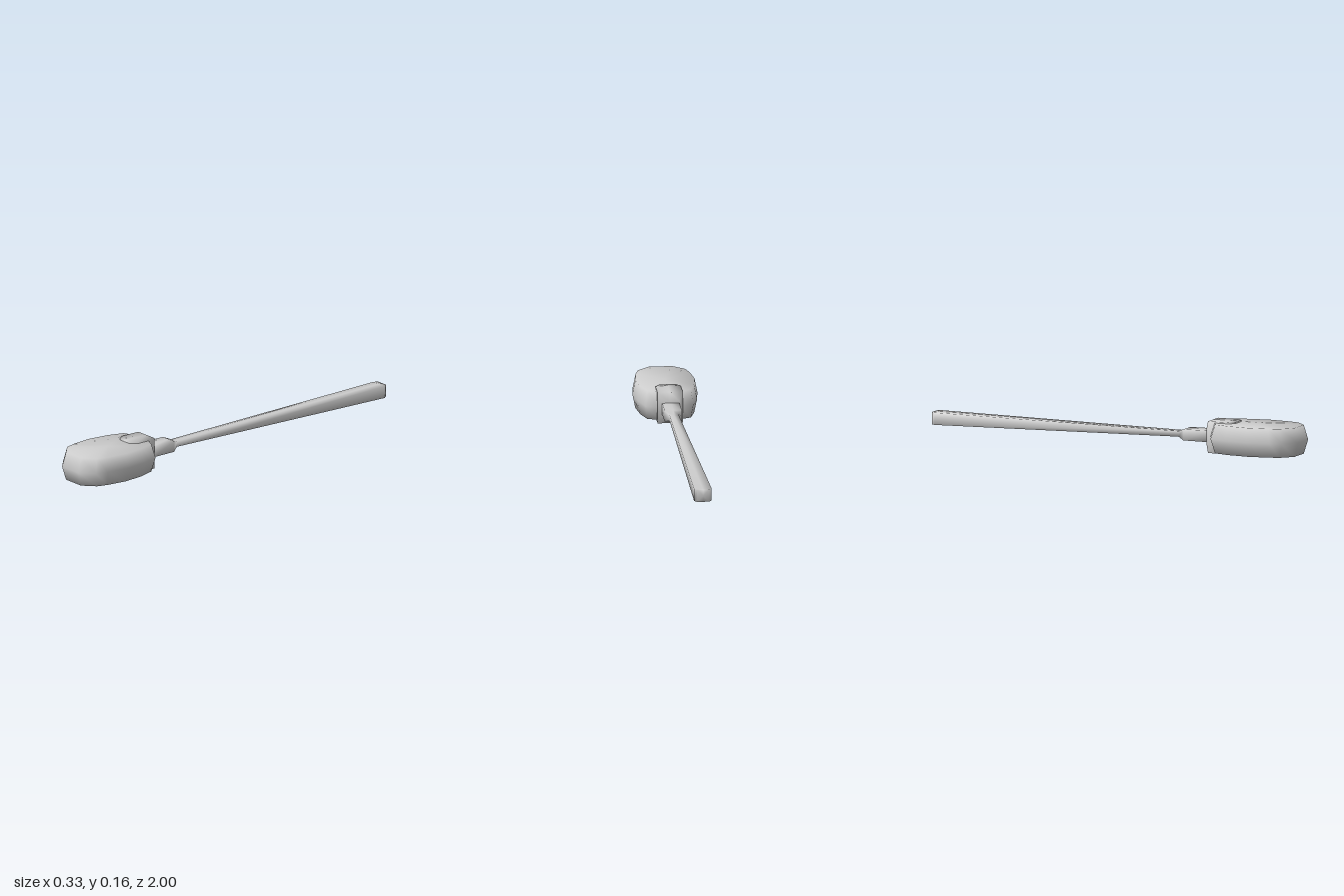
import * as THREE from 'three';

const MID_Y = 0.08;
const material = new THREE.MeshStandardMaterial({ color: 0xcccccc });

// Skins a series of equal-length rings and closes both ends with fans.
function loft(name, rings) {
  const n = rings[0].length;
  const points = rings.flat();
  const index = [];
  for (let i = 0; i < rings.length - 1; i++) {
    for (let j = 0; j < n; j++) {
      const a = i * n + j, b = i * n + (j + 1) % n;
      index.push(a, b, a + n, b, b + n, a + n);
    }
  }
  for (const [ring, start, flip] of [[rings[0], 0, true], [rings.at(-1), (rings.length - 1) * n, false]]) {
    const centre = ring.reduce((s, p) => s.add(p), new THREE.Vector3()).divideScalar(n);
    const c = points.push(centre) - 1;
    for (let j = 0; j < n; j++) {
      const a = start + j, b = start + (j + 1) % n;
      index.push(c, ...(flip ? [b, a] : [a, b]));
    }
  }
  const geometry = new THREE.BufferGeometry().setFromPoints(points);
  geometry.setIndex(index);
  geometry.computeVertexNormals();
  const mesh = new THREE.Mesh(geometry, material);
  mesh.name = name;
  return mesh;
}

// Rectangular section across z, with extra points on the centre line.
function section([z, hx, hy]) {
  return [[hx, -hy], [hx, hy], [0, hy], [-hx, hy], [-hx, -hy], [0, -hy]]
    .map(([x, y]) => new THREE.Vector3(x, MID_Y + y, z));
}

// Head outline in plan, right half mirrored, scaled about its middle.
function headRing(y, scale) {
  const half = [[0.065, 1], [0.13, 0.94], [0.148, 0.88], [0.163, 0.76], [0.148, 0.64], [0.12, 0.55], [0.058, 0.522]];
  const outline = [...half, ...half.map(([x, z]) => [-x, z]).reverse()];
  return outline.map(([x, z]) => new THREE.Vector3(x * scale, y, 0.765 + (z - 0.765) * scale));
}

export function createModel() {
  const group = new THREE.Group();

  // Pebble-shaped head, widest at mid height
  group.add(loft('head', [headRing(0.008, 0.91), headRing(MID_Y, 1), headRing(0.153, 0.91)]));

  // Tapering handle with a thicker collar at the head end
  group.add(loft('handle', [
    [-1, 0.03, 0.031], [-0.98, 0.044, 0.031], [0.335, 0.023, 0.014],
    [0.37, 0.043, 0.028], [0.5, 0.043, 0.029],
  ].map(section)));

  // Clamp gripping the back of the head above and below
  group.add(loft('clamp', [
    [0.495, 0.045, 0.035], [0.512, 0.063, 0.08], [0.62, 0.063, 0.08], [0.65, 0.038, 0.08],
  ].map(section)));

  return group;
}
